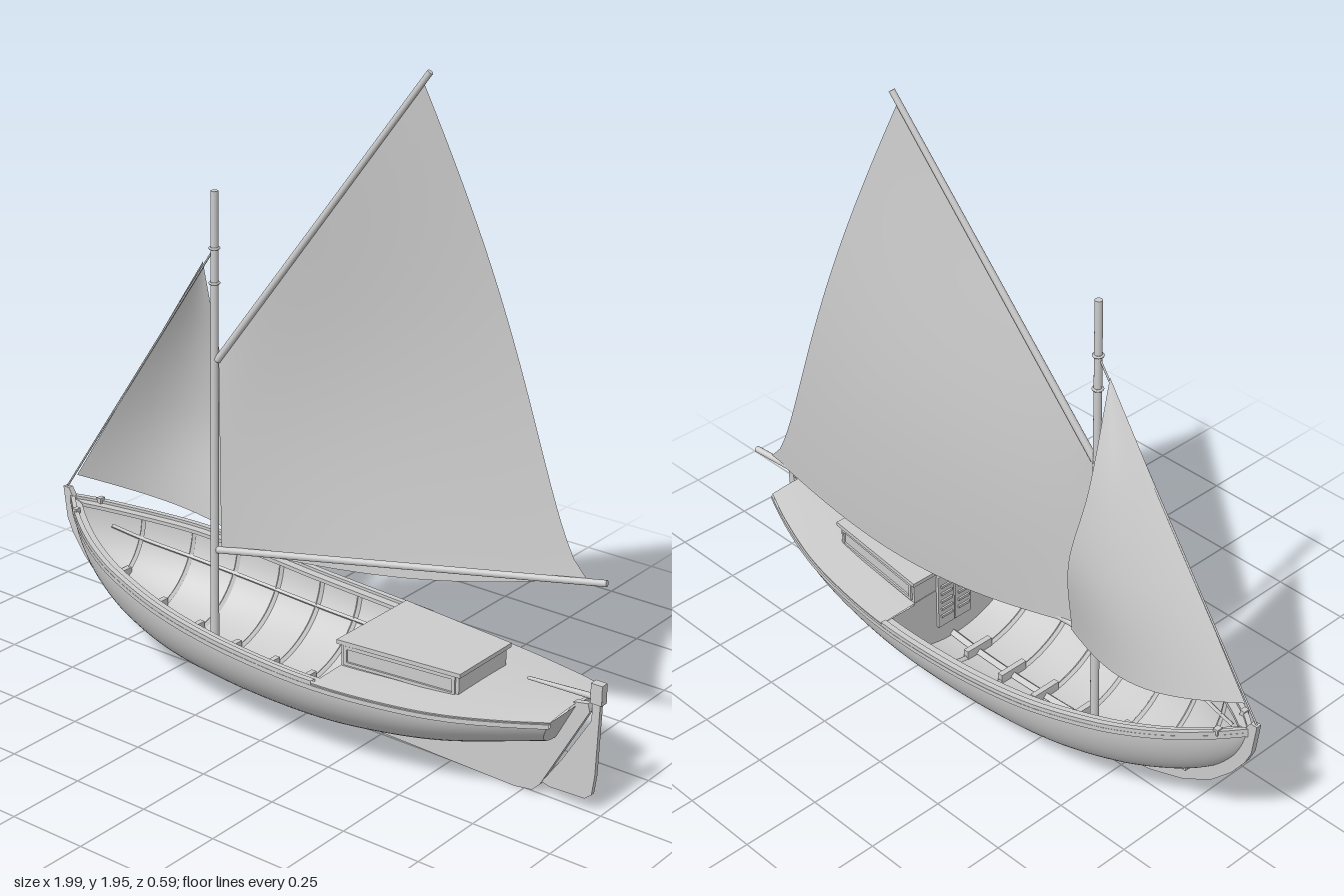
import * as THREE from 'three';
import { ParametricGeometry } from 'three/addons/geometries/ParametricGeometry.js';

const smooth = new THREE.MeshStandardMaterial({ color: 0xcccccc, side: THREE.DoubleSide });
const flat = new THREE.MeshStandardMaterial({ color: 0xcccccc, side: THREE.DoubleSide, flatShading: true });
const V = (x, y, z) => new THREE.Vector3(x, y, z);
const { lerp, clamp, smoothstep } = THREE.MathUtils;

// Smooth curve y(x) through a few points
function through(p) {
  const slope = i => {
    const a = p[Math.max(i - 1, 0)], b = p[Math.min(i + 1, p.length - 1)];
    return (b[1] - a[1]) / (b[0] - a[0]);
  };
  return x => {
    let i = 0;
    while (i < p.length - 2 && x > p[i + 1][0]) i++;
    const h = p[i + 1][0] - p[i][0], t = clamp((x - p[i][0]) / h, 0, 1), s = 1 - t;
    return (1 + 2 * t) * s * s * p[i][1] + t * s * s * h * slope(i)
      + t * t * (3 - 2 * t) * p[i + 1][1] - t * t * s * h * slope(i + 1);
  };
}

// Hull lines: sheer height, rabbet height and half beam along x
const BOW = -0.97, STERN = 0.912, BREAK = 0.22;
const sheer = through([[BOW, 0.43], [-0.8, 0.387], [-0.6, 0.35], [-0.38, 0.315], [-0.2, 0.293], [0, 0.279], [0.2, 0.272], [0.4, 0.275], [0.65, 0.288], [STERN, 0.315]]);
const rabbet = through([[BOW, 0.42], [-0.95, 0.36], [-0.92, 0.305], [-0.85, 0.228], [-0.75, 0.163], [-0.6, 0.108], [-0.4, 0.07], [-0.2, 0.054], [0, 0.05], [0.2, 0.058], [0.4, 0.085], [0.6, 0.122], [0.8, 0.17], [STERN, 0.2]]);
const beam = through([[BOW, 0.004], [-0.9, 0.062], [-0.8, 0.127], [-0.7, 0.178], [-0.6, 0.216], [-0.4, 0.262], [-0.2, 0.282], [0, 0.29], [0.2, 0.288], [0.4, 0.272], [0.6, 0.24], [0.8, 0.18], [STERN, 0.135]]);

// Point on the hull skin; v runs -1..1 from rail to rail, inset moves it inwards
function hullPoint(x, v, inset, out) {
  const a = Math.abs(v) * Math.PI / 2, rise = 1 - Math.cos(a);
  const fine = 1 + 0.35 * (1 - smoothstep(x, BOW, -0.4));
  const low = Math.min(rabbet(x) + inset, sheer(x));
  const z = Math.max(beam(x) - inset, 0.001) * Math.sin(a) ** fine * Math.sign(v);
  const rake = 0.06 * smoothstep(x, 0.4, STERN) * (1 - rise);
  return out.set(x - rake, lerp(low, sheer(x), rise), z);
}

export function createModel() {
  const model = new THREE.Group();
  const add = (name, geo, mat = flat, parent = model) => {
    const m = new THREE.Mesh(geo, mat);
    m.name = name;
    parent.add(m);
    return m;
  };
  const surface = (name, fn, nu, nv, mat = smooth) => {
    const g = new ParametricGeometry(fn, nu, nv);
    g.computeVertexNormals();
    return add(name, g, mat);
  };
  const box = (name, w, h, d, x, y, z, parent) => {
    const m = add(name, new THREE.BoxGeometry(w, h, d), flat, parent);
    m.position.set(x, y, z);
    return m;
  };
  const spar = (name, a, b, r0, r1, sides = 12) => {
    const d = b.clone().sub(a);
    const m = add(name, new THREE.CylinderGeometry(r1, r0, d.length(), sides), smooth);
    m.position.copy(a).addScaledVector(d, 0.5);
    m.quaternion.setFromUnitVectors(V(0, 1, 0), d.normalize());
    return m;
  };
  // Flat side profile extruded across the centreline
  const plate = (name, pts, depth) => {
    const g = new THREE.ExtrudeGeometry(new THREE.Shape(pts.map(p => new THREE.Vector2(...p))), { depth, bevelEnabled: false });
    return add(name, g.translate(0, 0, -depth / 2));
  };

  // Hull shell, inner lining and transom
  surface('hull', (u, v, p) => hullPoint(lerp(BOW, STERN, u ** 1.5), 2 * v - 1, 0, p), 64, 40);
  surface('hullLining', (u, v, p) => hullPoint(lerp(-0.95, BREAK, u ** 1.4), 2 * v - 1, 0.014, p), 40, 40);
  const fill = (x, inset) => (u, v, p) => {
    hullPoint(x, u, inset, p);
    p.z *= 2 * v - 1;
  };
  surface('transom', fill(STERN, 0), 16, 8);
  surface('bulkhead', fill(BREAK, 0.01), 16, 8);

  // Cambered after deck
  surface('afterDeck', (u, v, p) => {
    const x = lerp(BREAK, STERN, u), s = 2 * v - 1;
    p.set(x, sheer(x) + 0.008 * (1 - s * s), s * beam(x));
  }, 24, 10);

  // Strips swept along the sheer: each section is [inward, up]
  const sweep = (name, x0, x1, section) => {
    for (const side of [-1, 1]) surface(name, (u, v, p) => {
      const x = lerp(x0, x1, u ** 1.4), c = section[Math.round(v * 4) % 4];
      p.set(x, sheer(x) + c[1], side * Math.max(beam(x) - c[0], 0.001));
    }, 40, 4, flat);
  };
  sweep('sideDeck', BOW, BREAK, [[0, 0], [0.04, 0], [0.04, -0.012], [0, -0.012]]);
  sweep('rail', BOW, BREAK, [[-0.004, 0.009], [0.014, 0.009], [0.014, -0.006], [-0.004, -0.006]]);
  sweep('rubbingStrake', BOW, STERN, [[-0.005, -0.004], [0.002, -0.004], [0.002, -0.018], [-0.005, -0.018]]);

  // Frames, stringers and keelson inside the open hull
  for (const x of [-0.78, -0.63, -0.48, -0.33, -0.18, -0.04, 0.11]) {
    const pts = Array.from({ length: 21 }, (_, i) => hullPoint(x, (i / 10 - 1) * 0.95, 0.016, V()));
    add('rib', new THREE.TubeGeometry(new THREE.CatmullRomCurve3(pts), 40, 0.009, 4));
    box('floorTimber', 0.018, 0.03, Math.min(0.1, beam(x)), x, rabbet(x) + 0.032, 0);
  }
  const along = (name, v, r) => {
    const pts = Array.from({ length: 14 }, (_, i) => hullPoint(lerp(-0.86, BREAK, i / 13), v, 0.02, V()));
    add(name, new THREE.TubeGeometry(new THREE.CatmullRomCurve3(pts), 40, r, 4));
  };
  along('keelson', 0, 0.013);
  along('stringer', 0.72, 0.007);
  along('stringer', -0.72, 0.007);

  // Stem, keel and sternpost in one profile
  plate('keel', [
    [-0.998, 0.462], [-0.985, 0.36], [-0.965, 0.315], [-0.92, 0.25], [-0.85, 0.178], [-0.75, 0.115], [-0.62, 0.068], [-0.48, 0.043],
    [-0.25, 0.03], [0, 0.02], [0.35, 0.011], [0.72, 0.002], [0.78, 0.01], [0.805, 0.035], [0.957, 0.31], [0.95, 0.333], [0.905, 0.325],
    [0.845, 0.21], [0.6, 0.13], [0.4, 0.093], [0.2, 0.065], [0, 0.058], [-0.2, 0.062], [-0.4, 0.078], [-0.6, 0.118],
    [-0.75, 0.175], [-0.84, 0.24], [-0.905, 0.32], [-0.935, 0.37], [-0.955, 0.43], [-0.975, 0.462]], 0.018);

  // Rudder and tiller
  plate('rudder', [[0.81, 0.045], [0.84, 0.038], [0.95, 0.042], [0.972, 0.06], [0.98, 0.12], [0.988, 0.36], [0.962, 0.36], [0.962, 0.285], [0.872, 0.135]], 0.014);
  box('rudderHead', 0.036, 0.06, 0.026, 0.977, 0.37, 0);
  spar('tiller', V(0.75, 0.345, 0), V(0.995, 0.357, 0), 0.005, 0.01, 8);

  // Cabin with roof, side window frames and front doors
  const X0 = 0.222, X1 = 0.6, W0 = 0.155, W1 = 0.115;
  const slab = (name, g, y, h) => {
    const s = new THREE.Shape([[X0 - g, -W0 - g], [X1 + g, -W1 - g], [X1 + g, W1 + g], [X0 - g, W0 + g]].map(p => new THREE.Vector2(...p)));
    add(name, new THREE.ExtrudeGeometry(s, { depth: h, bevelEnabled: false }).rotateX(-Math.PI / 2)).position.y = y;
  };
  slab('cabin', 0, 0.25, 0.098);
  slab('cabinRoof', 0.01, 0.346, 0.013);
  for (const side of [-1, 1]) {
    const frame = new THREE.Group();
    frame.name = 'cabinWindowFrame';
    frame.position.set((X0 + X1) / 2, 0.314, side * (W0 + W1) / 2);
    frame.rotation.y = side * Math.atan2(W0 - W1, X1 - X0);
    for (const y of [-0.025, 0.025]) box('frameRail', 0.36, 0.01, 0.012, 0, y, 0, frame);
    for (const x of [-0.175, 0.175]) box('framePost', 0.01, 0.05, 0.012, x, 0, 0, frame);
    model.add(frame);
    box('cabinDoor', 0.01, 0.19, 0.065, BREAK - 0.004, 0.235, side * 0.035);
    for (let i = 0; i < 5; i++) box('doorSlat', 0.008, 0.008, 0.045, BREAK - 0.011, 0.18 + i * 0.028, side * 0.035);
  }

  // Mast, bands, spars and forestay
  const mastAt = y => V(lerp(-0.388, -0.362, y / 1.53), y, 0);
  spar('mast', mastAt(0.07), mastAt(1.53), 0.0135, 0.0115);
  for (const y of [1.255, 1.36]) {
    const band = add('mastBand', new THREE.TorusGeometry(0.0135, 0.004, 6, 16).rotateX(Math.PI / 2), smooth);
    band.position.copy(mastAt(y));
  }
  spar('gaff', V(-0.36, 1.02, 0), V(0.295, 1.945, -0.125), 0.011, 0.009);
  spar('boom', V(-0.37, 0.415, 0), V(0.845, 0.57, -0.235), 0.011, 0.01);
  spar('forestay', V(-0.99, 0.46, 0), mastAt(1.36), 0.003, 0.003, 6);
  box('fairlead', 0.016, 0.02, 0.02, -0.9, sheer(-0.9) + 0.006, 0.055);
  box('fairlead', 0.016, 0.02, 0.02, -0.9, sheer(-0.9) + 0.006, -0.055);

  // Gaff mainsail: patch between four corners with belly, sagging foot and hollow leech
  const tack = V(-0.355, 0.43, 0), clew = V(0.785, 0.57, -0.225), throat = V(-0.355, 1.03, 0), peak = V(0.275, 1.915, -0.123);
  surface('mainsail', (u, v, p) => {
    const su = Math.sin(Math.PI * u), sv = Math.sin(Math.PI * v);
    p.lerpVectors(tack, clew, u).lerp(V().lerpVectors(throat, peak, u), v);
    p.x -= 0.05 * u * u * Math.sin(Math.PI * Math.sqrt(v)) * (1 - v);
    p.y -= 0.068 * su * (1 - v) ** 3;
    p.z -= 0.047 * (u * sv + (1 - v) * su) + 0.015 * su * sv;
  }, 28, 28);

  // Jib: straight luff along the stay, curved leech
  const jibTack = V(-0.945, 0.51, 0), jibHead = V(-0.41, 1.31, 0);
  const leech = new THREE.CatmullRomCurve3([V(-0.345, 0.45, -0.06), V(-0.385, 0.74, -0.12), V(-0.432, 1.0, -0.095), jibHead]);
  surface('jib', (u, v, p) => {
    const su = Math.sin(Math.PI * u);
    p.lerpVectors(jibTack, jibHead, v).lerp(leech.getPoint(v), u);
    p.y -= 0.025 * su * (1 - v) ** 3;
    p.z -= 0.08 * su * (1 - v);
  }, 20, 24);

  return model;
}
